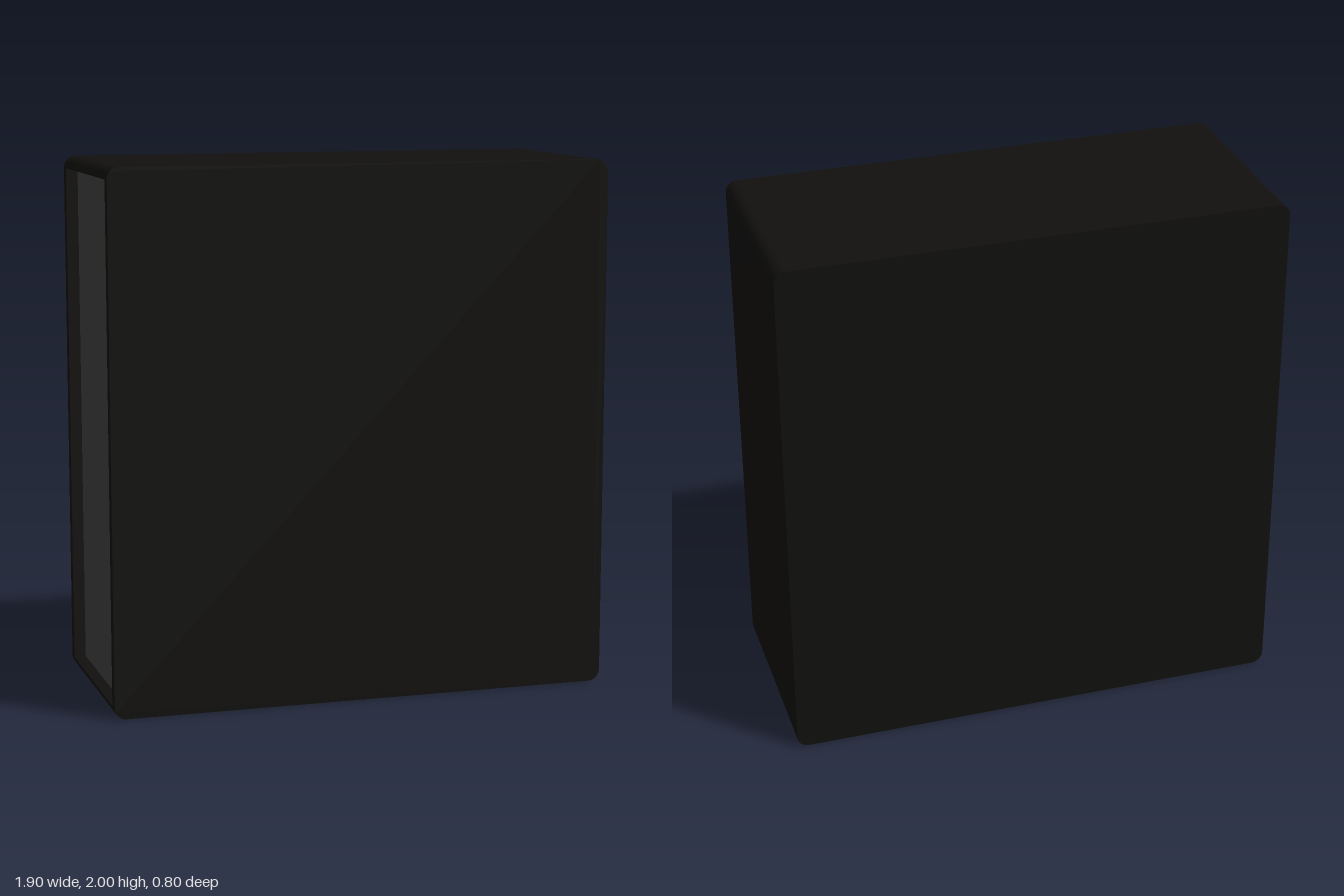
import * as THREE from 'three';
import { toCreasedNormals } from 'three/addons/utils/BufferGeometryUtils.js';

const W = 0.95, H = 2, D = 0.4;       // half width, height, half depth
const R = 0.045;                      // corner radius, also the lip above and below the panel
const LIP = 0.037;                    // lip at the sides of the panel
const PANEL_X = -0.905, POCKET_X = -0.855;

const shellMat = new THREE.MeshStandardMaterial({ color: 0x11100e });
const panelMat = new THREE.MeshStandardMaterial({ color: 0x404040 });

// Rounded case outline; with notch, the -x side is cut back between the lips
function caseOutline(notch) {
  const s = new THREE.Shape();
  s.moveTo(-W + R, 0);
  s.lineTo(W - R, 0);
  s.absarc(W - R, R, R, -Math.PI / 2, 0);
  s.lineTo(W, H - R);
  s.absarc(W - R, H - R, R, 0, Math.PI / 2);
  s.lineTo(-W + R, H);
  s.absarc(-W + R, H - R, R, Math.PI / 2, Math.PI);
  if (notch) {
    s.lineTo(POCKET_X, H - R);
    s.lineTo(POCKET_X, R);
  }
  s.lineTo(-W, R);
  s.absarc(-W + R, R, R, Math.PI, Math.PI * 1.5);
  return s;
}

function extrude(shape, depth) {
  const g = new THREE.ExtrudeGeometry(shape, { depth, bevelEnabled: false, curveSegments: 10 });
  return toCreasedNormals(g, 0.6);
}

function addMesh(group, name, geometry, material) {
  const mesh = new THREE.Mesh(geometry, material);
  mesh.name = name;
  group.add(mesh);
  return mesh;
}

export function createModel() {
  const group = new THREE.Group();
  group.name = 'computerCase';

  // Case: notched middle between two full side plates
  const inner = D - LIP;
  addMesh(group, 'caseMiddle', extrude(caseOutline(true), inner * 2), shellMat).position.z = -inner;
  const plate = extrude(caseOutline(false), LIP);
  addMesh(group, 'frontPlate', plate, shellMat).position.z = inner;
  addMesh(group, 'backPlate', plate, shellMat).position.z = -D;

  // Port panel: drawn with shape x = model z, then turned to face -x
  const panel = new THREE.Shape();
  panel.moveTo(-inner, R);
  panel.lineTo(inner, R);
  panel.lineTo(inner, H - R);
  panel.lineTo(-inner, H - R);
  panel.closePath();

  // Four slot ports
  const portZ = 0.272, hw = 0.032, hh = 0.063;
  for (let i = 0; i < 4; i++) {
    const y = 1.71 - i * 0.18;
    const slot = new THREE.Path();
    slot.moveTo(portZ - hw, y - hh);
    slot.lineTo(portZ - hw, y + hh);
    slot.lineTo(portZ + hw, y + hh);
    slot.lineTo(portZ + hw, y - hh);
    slot.closePath();
    panel.holes.push(slot);
  }

  // Round socket
  const socket = new THREE.Path();
  socket.absarc(portZ, 0.95, 0.065, 0, Math.PI * 2, true);
  panel.holes.push(socket);

  // Grey face, dark walls inside the ports
  const portPanel = addMesh(group, 'portPanel', extrude(panel, POCKET_X - PANEL_X), [panelMat, shellMat]);
  portPanel.rotation.y = -Math.PI / 2;
  portPanel.position.x = POCKET_X;

  return group;
}
